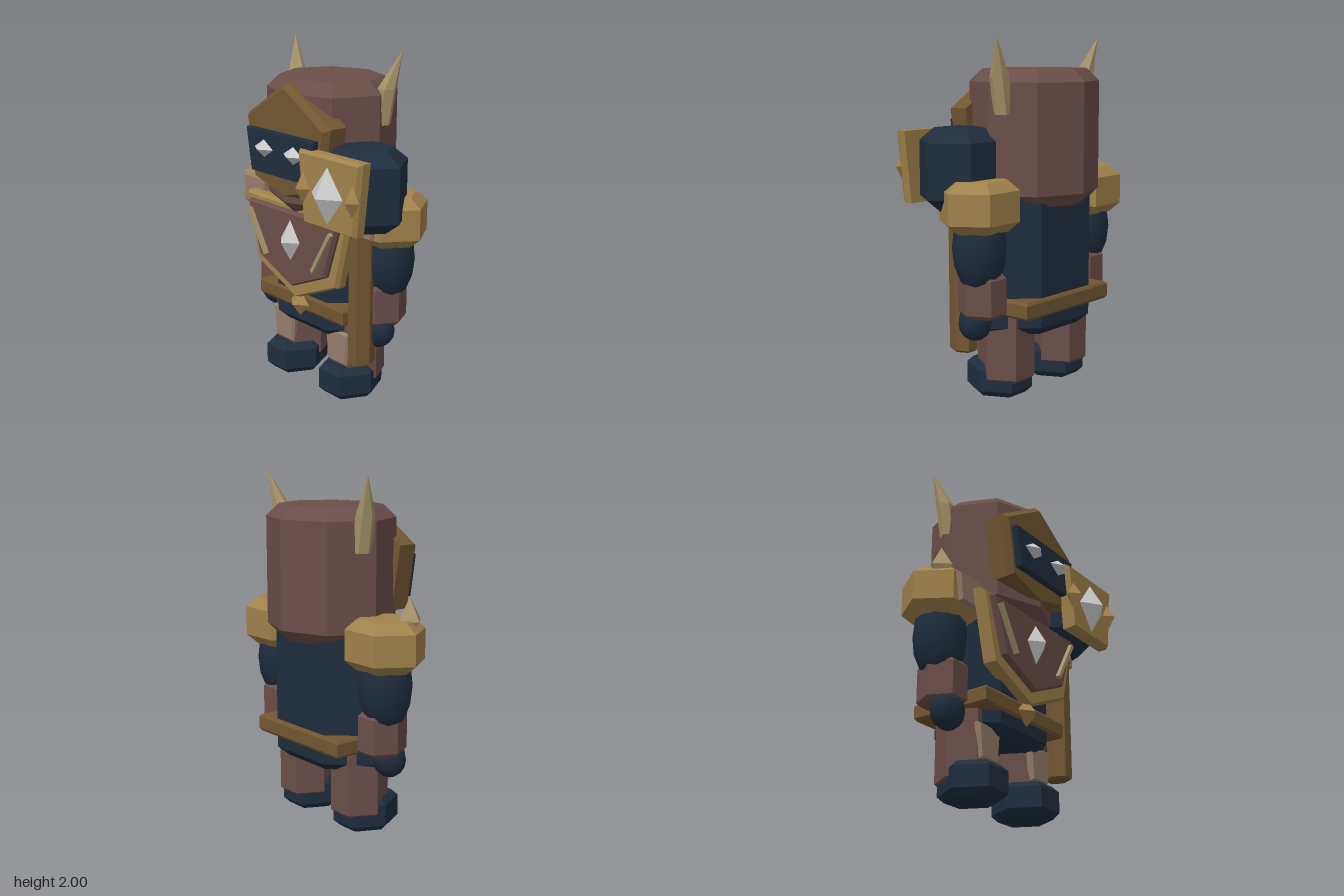
import * as THREE from 'three';

const mat = (name, color) => {
  const m = new THREE.MeshStandardMaterial({ color });
  m.name = name;
  return m;
};

// Flat-shaded loft: a convex counter-clockwise outline swept through rings
// { h, s, x, y } = height, scale, centre offset. axis 'y' stands up, 'z' faces front.
function loft(outline, rings, axis) {
  const n = outline.length, pos = [];
  const at = (r, i) => {
    const a = outline[i % n][0] * r.s + (r.x || 0), b = outline[i % n][1] * r.s + (r.y || 0);
    return axis === 'y' ? [a, r.h, -b] : [a, b, r.h];
  };
  const tri = (...p) => p.forEach(v => pos.push(...v));
  for (let k = 0; k < rings.length - 1; k++) {
    const lo = rings[k], up = rings[k + 1];
    for (let i = 0; i < n; i++) {
      tri(at(lo, i), at(lo, i + 1), at(up, i + 1));
      tri(at(lo, i), at(up, i + 1), at(up, i));
    }
  }
  const bottom = rings[0], top = rings[rings.length - 1];
  for (let i = 1; i < n - 1; i++) {
    tri(at(top, 0), at(top, i), at(top, i + 1));
    tri(at(bottom, 0), at(bottom, i + 1), at(bottom, i));
  }
  const g = new THREE.BufferGeometry();
  g.setAttribute('position', new THREE.Float32BufferAttribute(pos, 3));
  g.computeVertexNormals();
  return g;
}

// Polygon with points at +-x and the given half extents
function polygon(n, rx, rz) {
  const k = n === 6 ? Math.sin(Math.PI / 3) : 1;
  return Array.from({ length: n }, (_, i) => {
    const t = i * 2 * Math.PI / n;
    return [rx * Math.cos(t), rz * Math.sin(t) / k];
  });
}

// Upright prism with chamfered ends
function prism(n, rx, rz, y0, y1, bevel) {
  const s = 1 - bevel / Math.min(rx, rz);
  return loft(polygon(n, rx, rz), [
    { h: y0, s }, { h: y0 + bevel, s: 1 }, { h: y1 - bevel, s: 1 }, { h: y1, s }], 'y');
}

// Front-facing plate with a chamfered front edge; outline in x and y
function plate(points, z0, z1, inset, bevel) {
  const cy = points.reduce((t, p) => t + p[1], 0) / points.length;
  const cx = points.reduce((t, p) => t + p[0], 0) / points.length;
  const local = points.map(p => [p[0] - cx, p[1] - cy]);
  return loft(local, [
    { h: z0, s: 1, x: cx, y: cy }, { h: z1 - bevel, s: 1, x: cx, y: cy },
    { h: z1, s: inset, x: cx, y: cy }], 'z');
}

const gem = (rx, ry, rz) => new THREE.OctahedronGeometry(1, 0).scale(rx, ry, rz);
const ball = (rx, ry, rz) => new THREE.SphereGeometry(1, 12, 8).scale(rx, ry, rz);

export function createModel() {
  const leather = mat('red leather', 0x6b4e4a), navy = mat('dark navy', 0x1f2d3e);
  const gold = mat('gold', 0xa1824b), brown = mat('brown', 0x735632);
  const bone = mat('bone', 0xa6946a), silver = mat('silver', 0xcacaca);
  const tan = mat('tan', 0x967d6b);

  const model = new THREE.Group();
  model.name = 'armouredFighter';
  const add = (name, geo, material, x = 0, y = 0, z = 0, parent = model) => {
    const m = new THREE.Mesh(geo, material);
    m.name = name;
    m.position.set(x, y, z);
    parent.add(m);
    return m;
  };

  // Torso and belt
  add('torso', prism(6, 0.43, 0.23, 0.36, 1.25, 0.05), navy, 0, 0, -0.08);
  const beltHalf = [[-0.365, -0.25], [0.365, -0.25], [0.365, 0.25], [-0.365, 0.25]];
  add('belt', loft(beltHalf, [
    { h: 0.48, s: 0.96 }, { h: 0.495, s: 1 }, { h: 0.565, s: 1 }, { h: 0.58, s: 0.96 }], 'y'),
  brown, 0, 0, -0.085);
  add('buckle', gem(0.08, 0.08, 0.06), gold, 0, 0.525, 0.165);

  // Breastplate
  add('breastplateRim', plate(
    [[0, 0.56], [0.345, 0.71], [0.445, 1.12], [-0.445, 1.12], [-0.345, 0.71]],
    0.13, 0.2, 0.95, 0.025), gold);
  add('breastplate', plate(
    [[0, 0.64], [0.285, 0.765], [0.39, 1.085], [-0.39, 1.085], [-0.285, 0.765]],
    0.19, 0.235, 0.95, 0.02), leather);
  add('chestGem', gem(0.08, 0.12, 0.07), silver, 0, 0.92, 0.235);

  // Helmet and face
  add('helmet', prism(8, 0.385, 0.35, 1.08, 1.83, 0.07), leather, 0, 0, -0.08);
  add('faceFrame', plate(
    [[0, 1.165], [0.28, 1.24], [0.345, 1.61], [0, 1.825], [-0.345, 1.61], [-0.28, 1.24]],
    0.13, 0.275, 0.91, 0.035), brown);
  add('visor', plate(
    [[-0.245, 1.3], [0.245, 1.3], [0.285, 1.545], [-0.285, 1.545]], 0.27, 0.315, 0.97, 0.01), navy);

  for (const s of [-1, 1]) {
    const side = new THREE.Group();
    side.name = s > 0 ? 'leftSide' : 'rightSide';
    model.add(side);
    const put = (name, geo, material, x, y, z) => add(name, geo, material, x * s, y, z, side);

    put('eye', gem(0.08, 0.05, 0.05), silver, 0.125, 1.445, 0.315);
    put('horn', loft(polygon(6, 0.055, 0.047), [
      { h: 1.59, s: 1, x: 0.335 * s, y: 0.14 }, { h: 1.79, s: 1, x: 0.37 * s, y: 0.145 },
      { h: 2, s: 0.02, x: 0.44 * s, y: 0.19 }], 'y'), bone, 0, 0, 0);
    const strip = put('chestStrip', new THREE.BoxGeometry(0.022, 0.29, 0.03), bone, 0.277, 0.915, 0.245);
    strip.rotation.z = -0.53 * s;

    // Arm
    put('shoulderPad', prism(6, 0.24, 0.185, 0.965, 1.245, 0.055), gold, 0.46, 0, -0.08);
    put('shoulderPlate', plate(
      [[-0.08, 1.02], [0.08, 1.02], [0.105, 1.19], [-0.105, 1.19]], 0.09, 0.13, 0.9, 0.015),
    tan, 0.455, 0, 0);
    put('upperArm', ball(0.155, 0.26, 0.15), navy, 0.465, 0.88, -0.08);
    put('forearm', prism(6, 0.125, 0.125, 0.485, 0.73, 0.025), leather, 0.44, 0, -0.075);
    put('hand', ball(0.105, 0.11, 0.09), navy, 0.445, 0.45, -0.03);

    // Leg
    put('leg', prism(6, 0.158, 0.145, 0.09, 0.5, 0.02), leather, 0.24, 0, -0.07);
    put('shinPlate', plate(
      [[-0.075, 0.2], [0.075, 0.2], [0.095, 0.4], [-0.095, 0.4]], 0.06, 0.095, 0.88, 0.015),
    tan, 0.235, 0, 0);
    put('boot', prism(6, 0.172, 0.172, 0, 0.19, 0.035), navy, 0.238, 0, -0.018);
  }
  add('shoulderSpike', gem(0.075, 0.13, 0.08), bone, -0.565, 1.24, 0);

  // War hammer held at the left side
  const hammer = new THREE.Group();
  hammer.name = 'hammer';
  model.add(hammer);
  const part = (name, geo, m, x, y, z) => add(name, geo, m, x, y, z, hammer);
  part('hammerShaft', prism(6, 0.065, 0.075, 0.26, 1.15, 0.012), brown, 0.43, 0, 0.08);
  part('hammerHead', prism(6, 0.267, 0.195, 1.07, 1.515, 0.07), navy, 0.43, 0, 0.078);
  part('hammerFace', plate(
    [[0.235, 1.1], [0.63, 1.1], [0.675, 1.5], [0.19, 1.5]], 0.27, 0.345, 0.93, 0.025), gold, 0, 0, 0);
  part('hammerGem', gem(0.12, 0.155, 0.085), silver, 0.43, 1.29, 0.345);
  for (const x of [0.24, 0.62]) part('hammerStud', gem(0.053, 0.088, 0.055), gold, x, 1.3, 0.345);

  return model;
}
